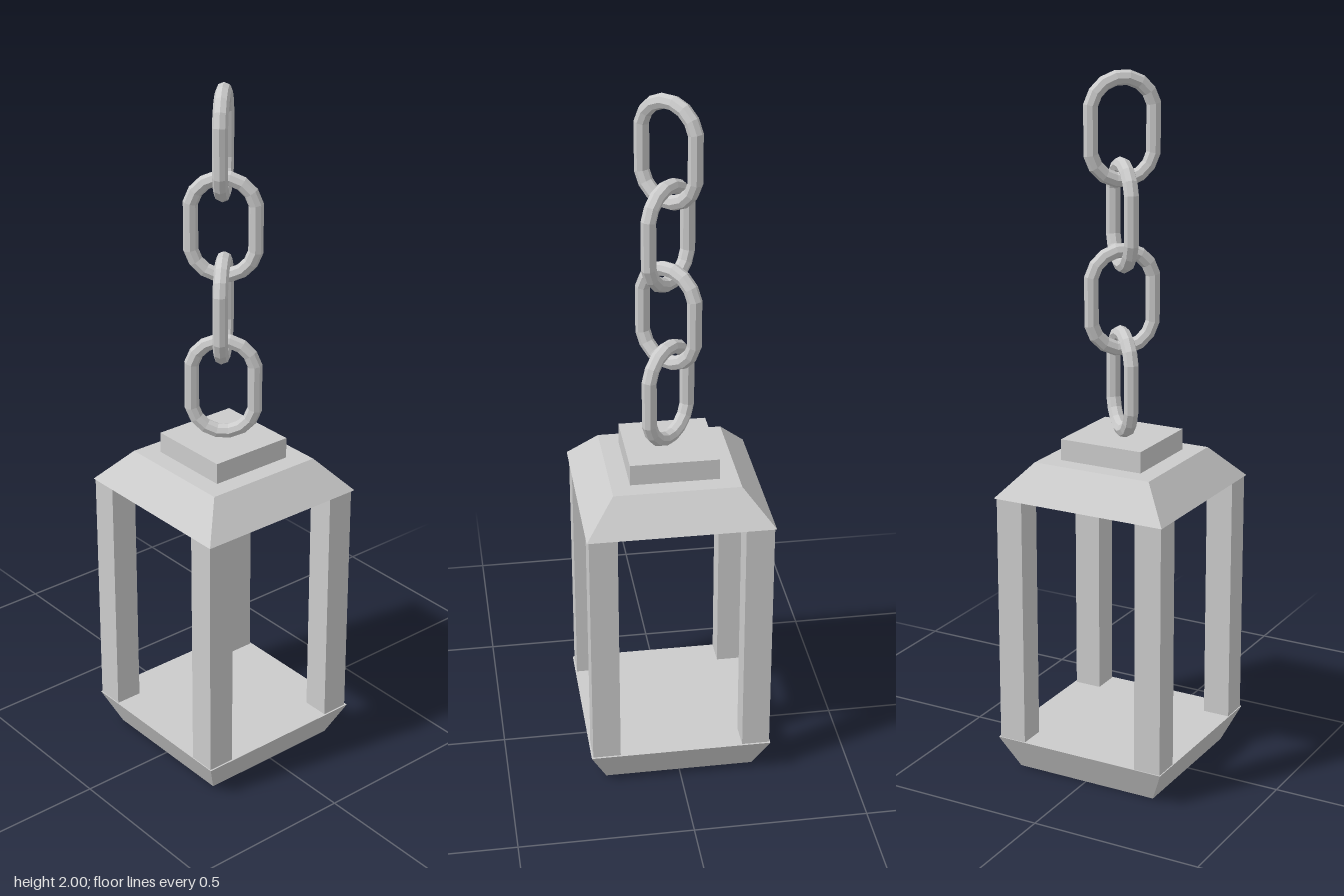
import * as THREE from 'three';

const grey = new THREE.MeshStandardMaterial({ color: 0xcccccc, flatShading: true });

function add(parent, name, geometry, x = 0, y = 0, z = 0) {
  const mesh = new THREE.Mesh(geometry, grey);
  mesh.name = name;
  mesh.position.set(x, y, z);
  parent.add(mesh);
  return mesh;
}

// Square slab with sloping sides, given its half widths and its y range
function taperedSlab(bottomHalf, topHalf, y0, y1) {
  const g = new THREE.CylinderGeometry(topHalf * Math.SQRT2, bottomHalf * Math.SQRT2, y1 - y0, 4);
  g.rotateY(Math.PI / 4);
  g.translate(0, (y0 + y1) / 2, 0);
  return g;
}

// Ring pulled apart at its middle into an oval chain link
function linkGeometry(halfWidth, tube, stretch) {
  const segments = 16;
  const halfStep = Math.PI / segments;
  const g = new THREE.TorusGeometry(halfWidth / Math.cos(halfStep), tube, 8, segments);
  g.rotateZ(halfStep);
  const p = g.attributes.position;
  for (let i = 0; i < p.count; i++) p.setY(i, p.getY(i) + Math.sign(p.getY(i)) * stretch);
  g.computeVertexNormals();
  return g;
}

export function createModel() {
  const lantern = new THREE.Group();
  lantern.name = 'hangingLantern';

  // Body
  add(lantern, 'base', taperedSlab(0.217, 0.263, 0, 0.1));
  add(lantern, 'roof', taperedSlab(0.264, 0.18, 0.828, 0.923));
  add(lantern, 'cap', new THREE.BoxGeometry(0.252, 0.064, 0.252), 0, 0.952, 0);

  // Corner posts
  const post = new THREE.BoxGeometry(0.08, 0.732, 0.08);
  for (const x of [-0.22, 0.218])
    for (const z of [-0.217, 0.22]) add(lantern, 'cornerPost', post, x, 0.464, z);

  // Chain of links, each turned a quarter from the one below
  const chain = new THREE.Group();
  chain.name = 'chain';
  lantern.add(chain);
  const link = linkGeometry(0.088, 0.021, 0.049);
  for (let i = 0; i < 4; i++) {
    const mesh = add(chain, 'chainLink', link, 0, 1.137 + i * 0.235, 0);
    mesh.rotation.y = (i % 2 ? -1 : 1) * Math.PI / 4;
  }

  return lantern;
}
